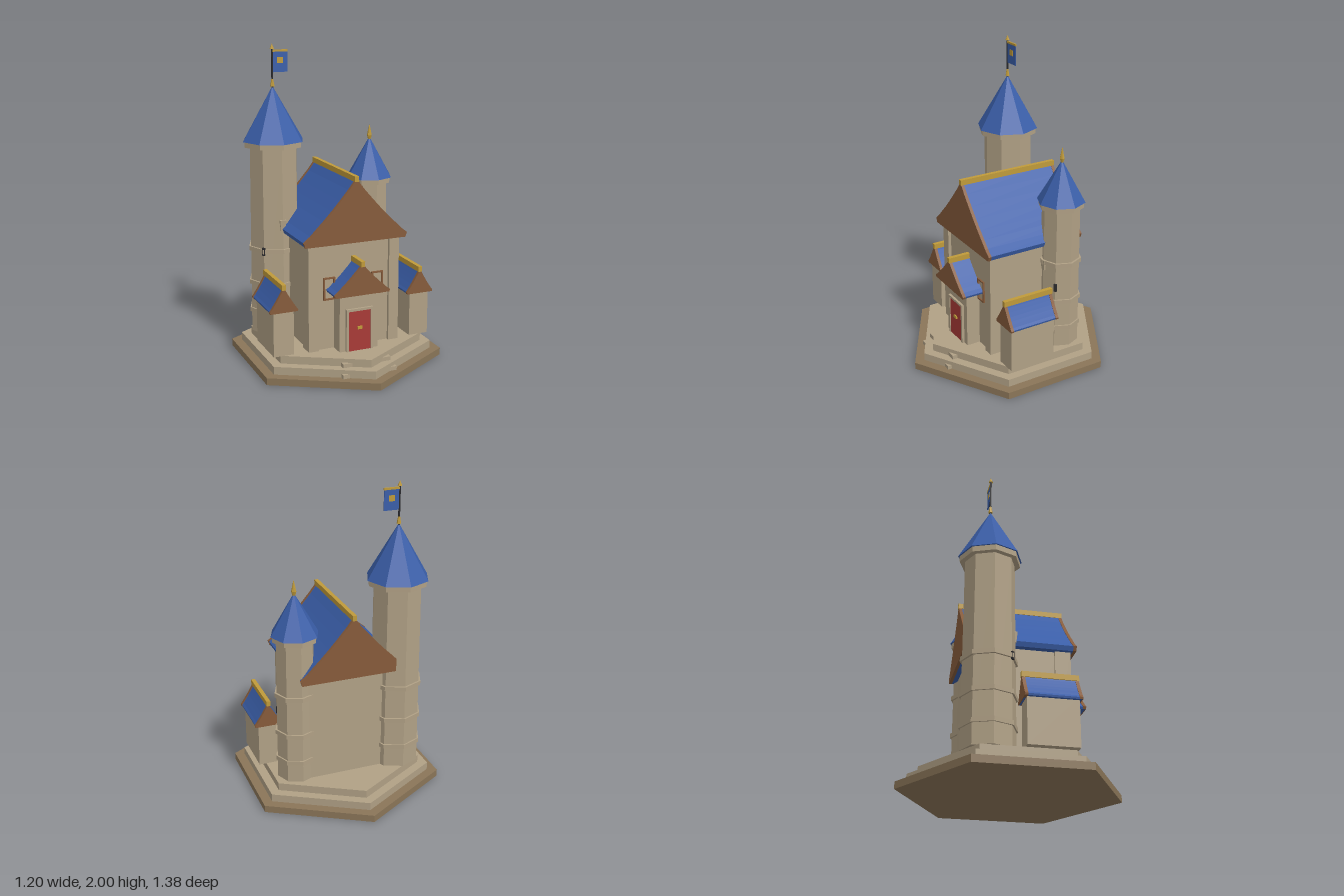
import * as THREE from 'three';

const mat = (name, color) => {
  const m = new THREE.MeshStandardMaterial({ color });
  m.name = name;
  return m;
};

export function createModel() {
  const stone = mat('stone', 0xb0a085);
  const darkStone = mat('dark stone', 0x8a7558);
  const blue = mat('roof blue', 0x3a5ea8);
  const brown = mat('timber brown', 0x865b3b);
  const gold = mat('gold', 0xbf9a3a);
  const red = mat('door red', 0xa83a37);
  const dark = mat('iron', 0x2b2b2e);

  const model = new THREE.Group();
  model.name = 'castle';

  const add = (name, geometry, material, parent = model) => {
    const mesh = new THREE.Mesh(geometry, material);
    mesh.name = name;
    parent.add(mesh);
    return mesh;
  };
  // Box given by its minimum and maximum on each axis
  const box = (name, m, x0, x1, y0, y1, z0, z1, parent) => {
    const g = new THREE.BoxGeometry(x1 - x0, y1 - y0, z1 - z0);
    g.translate((x0 + x1) / 2, (y0 + y1) / 2, (z0 + z1) / 2);
    return add(name, g, m, parent);
  };
  // Faceted upright prism or cone
  const prism = (name, m, rTop, rBottom, y0, y1, sides, parent) => {
    let g = new THREE.CylinderGeometry(rTop, rBottom, y1 - y0, sides).toNonIndexed();
    g.translate(0, (y0 + y1) / 2, 0);
    g.computeVertexNormals();
    return add(name, g, m, parent);
  };

  // Stepped hexagonal base
  prism('baseSlab', darkStone, 0.69, 0.69, 0, 0.045, 6);
  prism('middleStep', stone, 0.623, 0.623, 0.045, 0.095, 6);
  prism('topStep', stone, 0.558, 0.558, 0.095, 0.145, 6);
  box('lowerEntryStep', stone, -0.18, 0.18, 0.045, 0.07, 0.3, 0.545);
  box('upperEntryStep', stone, -0.16, 0.16, 0.07, 0.12, 0.3, 0.5);

  // Swept gable outline as fractions of half width and height
  const sweep = [[0, 1], [0.14, 0.84], [0.3, 0.68], [0.46, 0.525], [0.62, 0.38],
    [0.75, 0.27], [0.87, 0.165], [1, 0.075], [0.97, 0]];
  const gable = (w, h, z0, z1) => {
    const right = sweep.map(([a, b]) => new THREE.Vector2(a * w, b * h));
    const left = right.slice(1).reverse().map((p) => new THREE.Vector2(-p.x, p.y));
    const g = new THREE.ExtrudeGeometry(new THREE.Shape([...right, ...left]),
      { depth: z1 - z0, bevelEnabled: false });
    g.translate(0, 0, z0);
    return g;
  };
  const roof = (name, x, w, y0, y1, z0, z1, bothEnds) => {
    const group = new THREE.Group();
    group.name = name;
    group.position.set(x, y0, 0);
    const h = y1 - y0;
    add('roofSlopes', gable(w - 0.004, h - 0.005, z0 + 0.005, z1 - 0.005), blue, group);
    add('frontGable', gable(w, h, z1 - 0.02, z1), brown, group);
    if (bothEnds) add('backGable', gable(w, h, z0, z0 + 0.02), brown, group);
    box('ridgeBeam', gold, -0.013, 0.013, h - 0.018, h + 0.016, z0 - 0.002, z1 + 0.002, group);
    model.add(group);
  };

  // Main hall
  box('hallWalls', stone, -0.29, 0.29, 0.145, 0.84, -0.29, 0.285);
  roof('hallRoof', 0, 0.345, 0.825, 1.222, -0.34, 0.335, true);

  // Porch and door
  box('porchWalls', stone, -0.13, 0.13, 0.145, 0.56, 0.25, 0.376);
  roof('porchRoof', 0, 0.185, 0.518, 0.715, 0.27, 0.43, false);
  for (const s of [-1, 1]) {
    const x = s * 0.0825;
    box('doorJamb', stone, x - 0.0075, x + 0.0075, 0.145, 0.405, 0.37, 0.392);
  }
  box('doorLintel', stone, -0.09, 0.09, 0.405, 0.42, 0.37, 0.392);
  box('door', red, -0.075, 0.075, 0.145, 0.405, 0.37, 0.386);
  box('doorHandle', gold, -0.016, 0.016, 0.286, 0.304, 0.384, 0.395);

  for (const s of [-1, 1]) {
    // Corner pilasters
    const px = s * 0.2725;
    box('cornerPilaster', stone, px - 0.0335, px + 0.0335, 0.145, 0.878, 0.207, 0.305);

    // Framed hall windows
    const wx = s * 0.163;
    for (const t of [-1, 1]) {
      box('windowFrameSide', brown, wx + t * 0.034 - 0.005, wx + t * 0.034 + 0.005, 0.465, 0.61, 0.28, 0.296);
    }
    box('windowFrameTop', brown, wx - 0.039, wx + 0.039, 0.6, 0.61, 0.28, 0.296);
    box('windowFrameSill', brown, wx - 0.039, wx + 0.039, 0.465, 0.475, 0.28, 0.296);

    // Side wings
    const cx = s * 0.463;
    box('wingWalls', stone, cx - 0.066, cx + 0.066, 0.145, 0.45, -0.02, 0.288);
    roof('wingRoof', cx, 0.091, 0.428, 0.588, -0.037, 0.302, true);
  }

  // Octagonal towers with collar, cone roof and raised bands
  const tower = (name, x, z, p) => {
    const g = new THREE.Group();
    g.name = name;
    g.position.set(x, 0, z);
    prism('towerShaft', stone, p.top, p.bottom, 0.145, p.eave - 0.03, 8, g);
    prism('towerCollar', stone, p.collar, p.collar, p.eave - 0.035, p.eave, 8, g);
    prism('towerRoof', blue, 0, p.roof, p.eave, p.apex, 8, g);
    for (const y of p.bands) {
      prism('stoneBand', stone, p.bottom + 0.009, p.bottom + 0.009, y - 0.014, y + 0.014, 8, g);
    }
    // Keystone block on the front corner
    const key = prism('keystone', stone, 0.03, 0.02, p.keyY - 0.035, p.keyY + 0.035, 4, g);
    key.geometry.rotateY(Math.PI / 4);
    key.geometry.computeVertexNormals();
    key.position.z = p.top - 0.008;
    // Arrow slit on the outer front corner
    const slit = box('arrowSlit', dark, -0.01, 0.01, p.slitY - 0.025, p.slitY + 0.025, -0.006, 0.006, g);
    const a = Math.sign(x) * Math.PI / 4;
    const r = p.bottom + 0.001;
    slit.rotation.y = a;
    slit.position.set(Math.sin(a) * r, 0, Math.cos(a) * r);
    model.add(g);
    return g;
  };
  const tall = tower('tallTower', -0.336, -0.203, {
    top: 0.156, bottom: 0.165, collar: 0.19, roof: 0.2, eave: 1.395, apex: 1.738,
    bands: [0.29, 0.48, 0.705], keyY: 0.875, slitY: 0.705,
  });
  const short = tower('shortTower', 0.33, -0.188, {
    top: 0.12, bottom: 0.127, collar: 0.142, roof: 0.152, eave: 1.11, apex: 1.375,
    bands: [0.28, 0.465, 0.72], keyY: 0.7, slitY: 0.567,
  });

  // Finials and flag
  prism('finial', gold, 0, 0.016, 1.385, 1.46, 6, short);
  prism('finialBase', gold, 0.016, 0.008, 1.355, 1.385, 6, short);
  prism('finial', gold, 0.005, 0.014, 1.735, 1.785, 6, tall);
  prism('flagPole', dark, 0.006, 0.006, 1.72, 1.975, 6, tall);
  prism('poleTip', gold, 0, 0.014, 1.967, 2.0, 6, tall);
  box('flag', blue, 0.005, 0.101, 1.822, 1.948, -0.003, 0.003, tall);
  box('flagRail', gold, 0, 0.103, 1.948, 1.961, -0.005, 0.005, tall);
  box('flagEmblem', gold, 0.033, 0.071, 1.877, 1.914, -0.0045, 0.0045, tall);

  return model;
}
